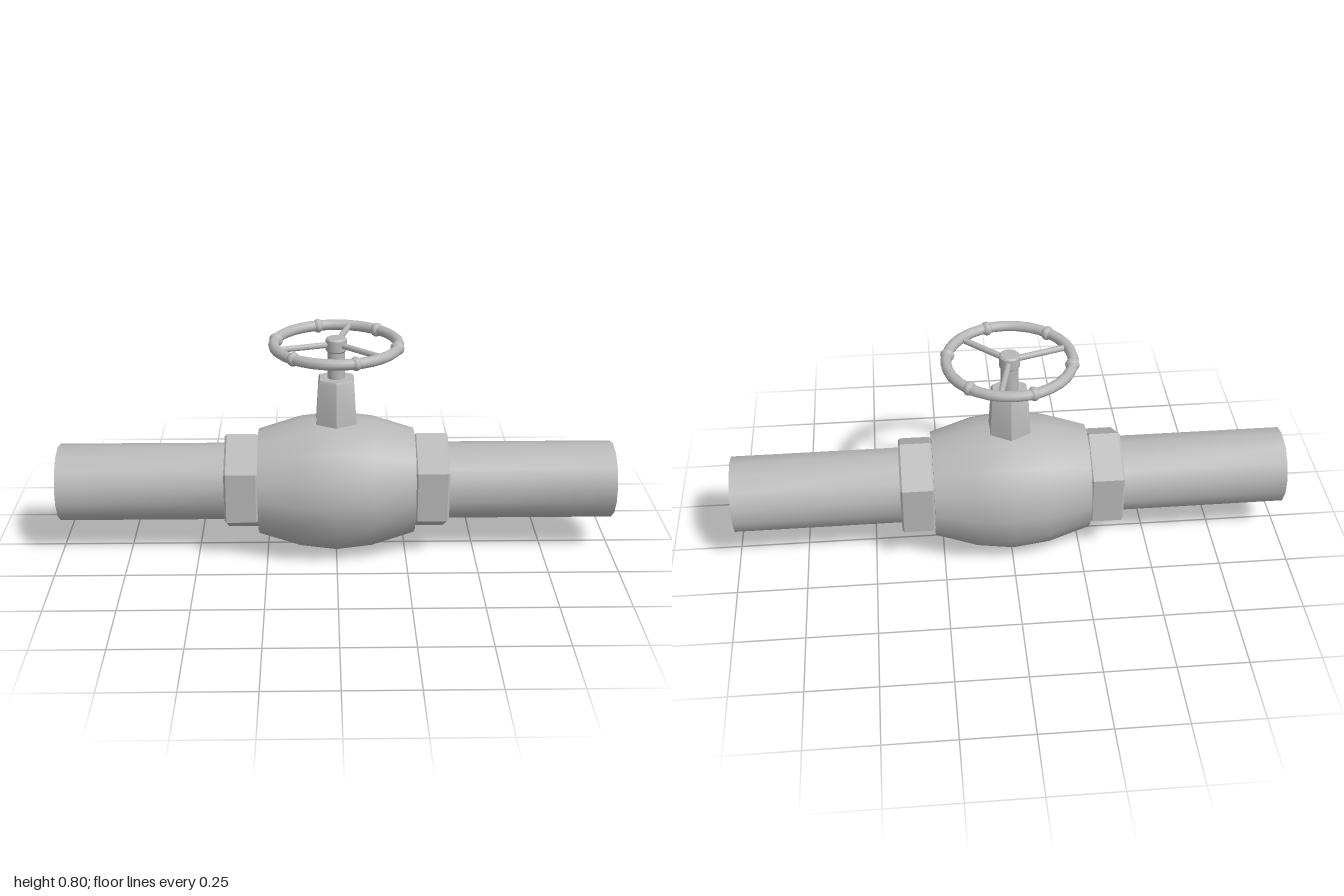
import * as THREE from 'three';
import { toCreasedNormals } from 'three/addons/utils/BufferGeometryUtils.js';

const AXIS_Y = 0.254;   // height of the pipe axis
const WHEEL_Y = 0.776;  // height of the handwheel
const RIM_R = 0.219;

export function createModel() {
  const group = new THREE.Group();
  const metal = new THREE.MeshStandardMaterial({ color: 0xb8b8b8 });
  metal.name = 'grey metal';

  const add = (name, geometry, parent = group) => {
    const mesh = new THREE.Mesh(geometry, metal);
    mesh.name = name;
    parent.add(mesh);
    return mesh;
  };

  // Turned part with sharp edges kept; profile is [radius, height] pairs
  const turned = (profile, sides) => toCreasedNormals(
    new THREE.LatheGeometry(profile.map(([r, y]) => new THREE.Vector2(r, y)), sides, Math.PI / 2), 0.6);

  // Same, laid along the x axis
  const turnedX = (profile, sides) => turned(profile, sides)
    .rotateZ(-Math.PI / 2).translate(0, AXIS_Y, 0);

  // Barrel-shaped valve body
  add('valveBody', turnedX([
    [0, -0.28], [0.19, -0.28], [0.236, -0.13], [0.2515, 0],
    [0.236, 0.13], [0.19, 0.28], [0, 0.28],
  ], 16));

  // Hexagonal nut and pipe on each side
  for (const [side, s] of [['left', 1], ['right', -1]]) {
    const nut = turnedX([
      [0, -0.06], [0.176, -0.06], [0.184, -0.053],
      [0.184, 0.053], [0.176, 0.06], [0, 0.06],
    ], 6);
    add(side + 'Nut', nut).position.x = s * 0.34;

    const pipe = turnedX([[0, -0.31], [0.139, -0.31], [0.139, 0.31], [0, 0.31]], 14);
    add(side + 'Pipe', pipe).position.x = s * 0.69;
  }

  // Tapered hexagonal bonnet with points towards front and back
  const bonnet = turned([
    [0, 0.45], [0.085, 0.45], [0.083, 0.485], [0.072, 0.645], [0.067, 0.653], [0, 0.653],
  ], 6).rotateY(Math.PI / 2);
  add('bonnet', bonnet);

  // Stem
  add('stem', turned([[0, 0.62], [0.031, 0.62], [0.031, 0.77], [0, 0.77]], 16));

  // Handwheel: hub, rim, three spokes and six grip rings
  const wheel = new THREE.Group();
  wheel.name = 'handwheel';
  wheel.position.y = WHEEL_Y;
  group.add(wheel);

  add('hub', turned([
    [0, -0.027], [0.031, -0.027], [0.037, -0.021],
    [0.037, 0.018], [0.031, 0.024], [0, 0.024],
  ], 16), wheel);
  add('rim', new THREE.TorusGeometry(RIM_R, 0.019, 10, 32).rotateX(Math.PI / 2), wheel);

  for (let i = 0; i < 3; i++) {
    const spoke = new THREE.CylinderGeometry(0.011, 0.011, 0.2, 8)
      .rotateZ(Math.PI / 2).translate(0.115, 0, 0);
    add('spoke', spoke, wheel).rotation.y = -THREE.MathUtils.degToRad(43 + i * 120);
  }
  for (let i = 0; i < 6; i++) {
    const ring = new THREE.SphereGeometry(0.025, 12, 8)
      .scale(1, 1, 0.8).translate(RIM_R - 0.002, 0, 0);
    add('gripRing', ring, wheel).rotation.y = -THREE.MathUtils.degToRad(13 + i * 60);
  }

  return group;
}
